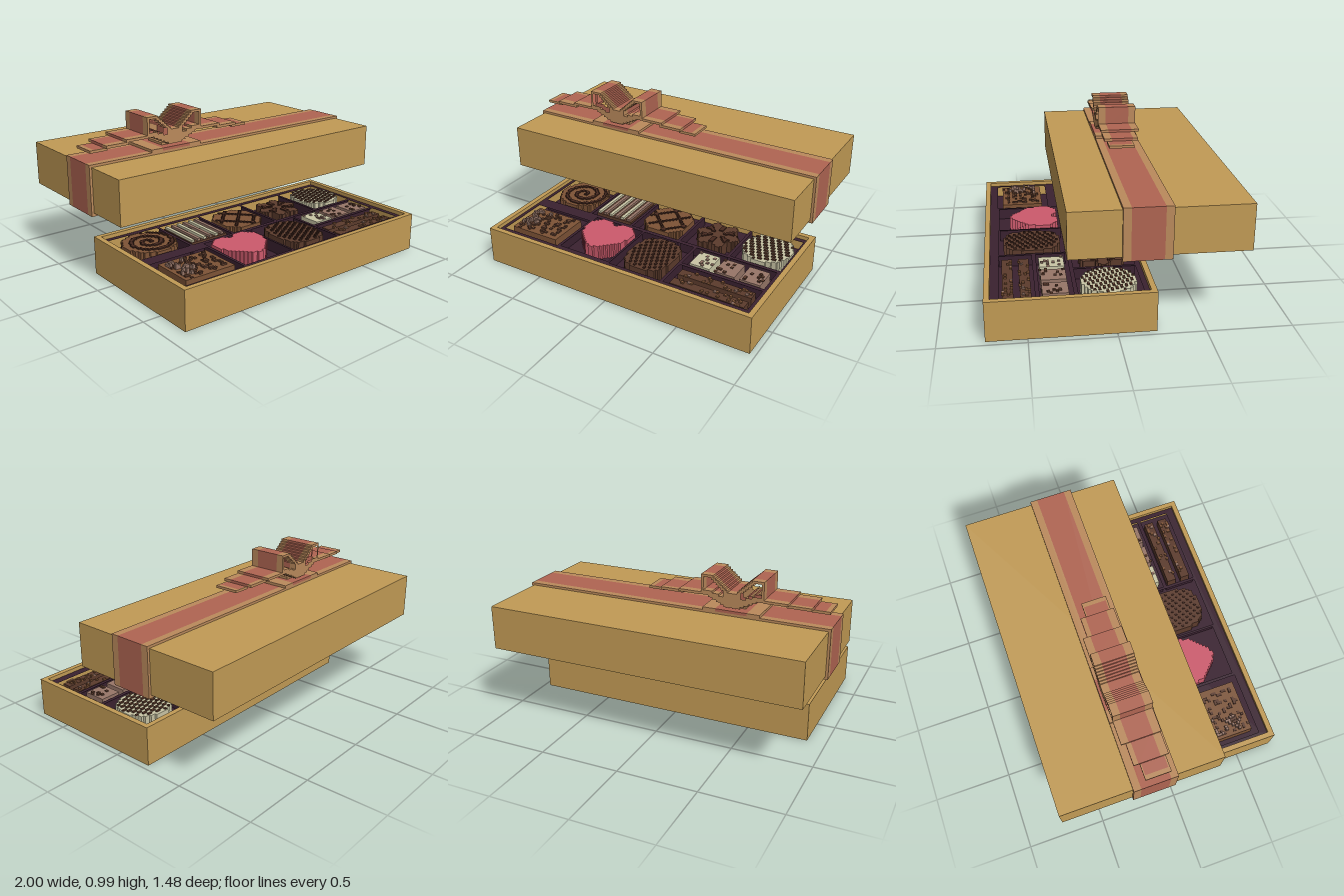
import * as THREE from 'three';
import { mergeGeometries } from 'three/addons/utils/BufferGeometryUtils.js';

const mat = (name, color) => Object.assign(new THREE.MeshStandardMaterial({ color }), { name });

export function createModel() {
  const M = {
    card: mat('gold card', 0xc29b55), edge: mat('ribbon edge', 0xbb8a5c), red: mat('ribbon red', 0xb06552),
    plum: mat('tray plum', 0x3a2130), pink: mat('heart pink', 0xcd5a6c), milk: mat('milk chocolate', 0x7d5336),
    dark: mat('dark chocolate', 0x5c3b2c), cream: mat('white chocolate', 0xcac6a6),
    mauve: mat('nougat', 0x977668), bitter: mat('bitter chocolate', 0x46291f),
  };
  const model = new THREE.Group();
  let seed = 7;
  const rand = () => (seed = (seed * 16807) % 2147483647) / 2147483647;

  const group = (name) => {
    const g = new THREE.Group();
    g.name = name;
    model.add(g);
    return g;
  };
  const add = (parent, name, geo, material) => {
    const m = new THREE.Mesh(geo, material);
    m.name = name;
    parent.add(m);
    return m;
  };
  const boxGeo = (x0, x1, y0, y1, z0, z1) =>
    new THREE.BoxGeometry(x1 - x0, y1 - y0, z1 - z0).translate((x0 + x1) / 2, (y0 + y1) / 2, (z0 + z1) / 2);
  const box = (parent, name, material, ...r) => add(parent, name, boxGeo(...r), material);
  const shapeOf = (pts) => new THREE.Shape(pts.map(([x, y]) => new THREE.Vector2(x, y)));

  // Four walls around a rectangular footprint
  function walls(parent, x0, x1, y0, y1, z0, z1, t) {
    box(parent, 'leftWall', M.card, x1 - t, x1, y0, y1, z0, z1);
    box(parent, 'rightWall', M.card, x0, x0 + t, y0, y1, z0, z1);
    box(parent, 'frontWall', M.card, x0 + t, x1 - t, y0, y1, z1 - t, z1);
    box(parent, 'backWall', M.card, x0 + t, x1 - t, y0, y1, z0, z0 + t);
  }

  // Ribbon profile swept along z in three strips: edge, red, edge
  function ribbonStrips(parent, name, shape, z0, r0, r1, z1) {
    [[z0, r0, M.edge], [r0, r1, M.red], [r1, z1, M.edge]].forEach(([a, b, m]) =>
      add(parent, name, new THREE.ExtrudeGeometry(shape, { depth: b - a, bevelEnabled: false }).translate(0, 0, a), m));
  }

  // Stepped polyline between two points
  function stairs(x0, y0, x1, y1, n) {
    const pts = [[x0, y0]];
    for (let i = 1; i <= n; i++) {
      const x = x0 + (x1 - x0) * i / n;
      pts.push([x, pts[pts.length - 1][1]], [x, y0 + (y1 - y0) * i / n]);
    }
    return pts;
  }

  // Pixel-stepped solid: each row of cells that pass the test is joined into runs
  function pixels(parent, name, material, cx, cz, hx, hz, n, y0, y1, test) {
    const geos = [];
    for (let j = 0; j < n; j++) {
      let start = -1;
      for (let i = 0; i <= n; i++) {
        const inside = i < n && test((i + 0.5) * 2 / n - 1, (j + 0.5) * 2 / n - 1, i, j);
        if (inside && start < 0) start = i;
        if (!inside && start >= 0) {
          geos.push(boxGeo(cx + hx * (start * 2 / n - 1), cx + hx * (i * 2 / n - 1), y0, y1,
            cz + hz * (j * 2 / n - 1), cz + hz * ((j + 1) * 2 / n - 1)));
          start = -1;
        }
      }
    }
    return add(parent, name, mergeGeometries(geos), material);
  }

  // Small crumbs strewn over a rectangle
  function crumbs(parent, name, material, x0, x1, z0, z1, y, h, count, s = 0.017) {
    const geos = [];
    for (let i = 0; i < count; i++) {
      const x = x0 + Math.floor(rand() * (x1 - x0) / s) * s, z = z0 + Math.floor(rand() * (z1 - z0) / s) * s;
      geos.push(boxGeo(x, x + s, y, y + h * (0.4 + 0.6 * rand()), z, z + s));
    }
    add(parent, name, mergeGeometries(geos), material);
  }

  // Bottom box
  const base = group('bottomBox');
  box(base, 'boxFloor', M.card, -0.885, 0.965, 0, 0.02, -0.225, 0.735);
  walls(base, -0.885, 0.965, 0.02, 0.245, -0.225, 0.735, 0.033);

  // Tray with a compartment for each sweet
  const tray = group('tray');
  const cells = [
    [-0.83, -0.41, 0.3, 0.65], [-0.39, -0.035, 0.24, 0.64], [-0.02, 0.34, 0.24, 0.65],
    [0.36, 0.9, 0.45, 0.65], [0.36, 0.9, 0.235, 0.425], [-0.83, -0.47, -0.16, 0.21],
    [-0.45, -0.15, -0.16, 0.21], [-0.13, 0.21, -0.16, 0.21], [0.23, 0.56, -0.16, 0.21], [0.58, 0.91, -0.16, 0.21],
  ];
  const rect = (x0, x1, z0, z1) => [[x0, -z0], [x1, -z0], [x1, -z1], [x0, -z1]];
  const trayShape = shapeOf(rect(-0.852, 0.932, -0.192, 0.702));
  trayShape.holes = cells.map((c) => shapeOf(rect(...c)));
  add(tray, 'trayDividers', new THREE.ExtrudeGeometry(trayShape, { depth: 0.08, bevelEnabled: false })
    .rotateX(-Math.PI / 2).translate(0, 0.14, 0), M.plum);
  box(tray, 'trayFloor', M.plum, -0.852, 0.932, 0.02, 0.14, -0.192, 0.702);

  // Front row of sweets
  const sweets = group('sweets');
  const Y = 0.14, T = 0.228;
  box(sweets, 'nutSquare', M.milk, -0.79, -0.45, Y, T, 0.34, 0.615);
  crumbs(sweets, 'darkCrumbs', M.dark, -0.77, -0.47, 0.36, 0.6, T, 0.012, 70);
  crumbs(sweets, 'nuts', M.mauve, -0.77, -0.66, 0.38, 0.56, T, 0.034, 22);
  pixels(sweets, 'heart', M.pink, -0.215, 0.4375, 0.184, 0.184, 22, Y, 0.235, (a, b) => {
    const u = a * 1.25, v = -b * 1.25;
    return (u * u + v * v - 1) ** 3 - u * u * v ** 3 < 0;
  });
  const oval = (u, v) => Math.abs(u) ** 2.6 + Math.abs(v) ** 2.6 < 1;
  pixels(sweets, 'truffle', M.dark, 0.165, 0.44, 0.148, 0.178, 20, Y, T, oval);
  pixels(sweets, 'truffleRidges', M.bitter, 0.165, 0.44, 0.135, 0.165, 20, T, T + 0.008,
    (u, v, i, j) => oval(u, v) && (i + 2 * j) % 5 === 0);
  for (const z of [0.47, 0.57]) {
    box(sweets, 'chocolateBar', M.dark, 0.39, 0.87, Y, 0.21, z, z + 0.062);
    crumbs(sweets, 'barCrumbs', M.milk, 0.4, 0.86, z, z + 0.06, 0.21, 0.012, 16);
    crumbs(sweets, 'paleCrumbs', M.mauve, 0.4, 0.86, z, z + 0.06, 0.21, 0.012, 3);
  }
  [[0.405, M.cream], [0.57, M.mauve], [0.735, M.mauve]].forEach(([x, m], k) => {
    box(sweets, 'nougatPiece', m, x, x + 0.133, Y, 0.222, 0.26, 0.41);
    crumbs(sweets, 'nougatCrumbs', k ? M.dark : M.mauve, x, x + 0.13, 0.265, 0.405, 0.222, 0.01, 9);
  });

  // Back row of sweets
  const disc = (u, v) => u * u + v * v < 1;
  pixels(sweets, 'swirlRound', M.milk, -0.645, 0.025, 0.165, 0.165, 20, Y, T, disc);
  pixels(sweets, 'swirlLines', M.bitter, -0.645, 0.025, 0.155, 0.155, 24, T, T + 0.008,
    (u, v) => disc(u, v) && Math.sin(Math.hypot(u, v) * 15 + Math.atan2(v, u)) > 0.55);
  box(sweets, 'stripedSquare', M.dark, -0.435, -0.165, Y, 0.215, -0.125, 0.175);
  for (let i = 0; i < 6; i++) {
    const x = -0.43 + i * 0.045;
    box(sweets, 'paleStripe', i % 2 ? M.mauve : M.cream, x, x + 0.022, 0.215, 0.23, -0.12, 0.17);
  }
  const octagon = (u, v) => Math.abs(u) + Math.abs(v) < 1.45;
  pixels(sweets, 'drizzledSquare', M.milk, 0.04, 0.025, 0.145, 0.15, 18, Y, 0.222, octagon);
  pixels(sweets, 'drizzle', M.bitter, 0.04, 0.025, 0.14, 0.145, 18, 0.222, 0.23,
    (u, v, i, j) => octagon(u, v) && ((i + j) % 9 === 0 || (i - j + 18) % 12 === 0));
  const flower = (u, v) => Math.hypot(u, v) < 0.85 + 0.13 * Math.cos(6 * Math.atan2(v, u));
  pixels(sweets, 'flower', M.dark, 0.4, 0.025, 0.145, 0.15, 20, Y, 0.22, flower);
  pixels(sweets, 'petals', M.bitter, 0.4, 0.025, 0.14, 0.145, 20, 0.22, 0.228,
    (u, v) => flower(u, v) && Math.cos(6 * Math.atan2(v, u)) < -0.5);
  pixels(sweets, 'whiteRound', M.cream, 0.75, 0.025, 0.155, 0.16, 20, Y, T, disc);
  pixels(sweets, 'whiteRoundLines', M.dark, 0.75, 0.025, 0.15, 0.155, 22, T, T + 0.008,
    (u, v, i, j) => disc(u, v) && (i + 3 * j) % 7 < 2);

  // Raised lid
  const lid = group('lid');
  box(lid, 'lidTop', M.card, -0.985, 0.985, 0.735, 0.755, -0.74, 0.28);
  walls(lid, -0.985, 0.985, 0.48, 0.735, -0.74, 0.28, 0.018);

  // Ribbon over the lid, hooked under both ends
  const ribbon = group('ribbon');
  const half = [[1, 0.77], [1, 0.46], [0.957, 0.46], [0.957, 0.48], [0.985, 0.48], [0.985, 0.755]];
  ribbonStrips(ribbon, 'lidRibbon', shapeOf([...half, ...half.map(([x, y]) => [-x, y]).reverse()]),
    -0.293, -0.247, -0.063, -0.017);

  // Bow: knot plate, two stepped loops, two stepped tails
  const bow = group('bow');
  const C = -0.397;
  [[-0.18, -0.1, M.edge], [-0.1, 0.1, M.red], [0.1, 0.18, M.edge]].forEach(([a, b, m]) =>
    box(bow, 'knotPlate', m, C + a, C + b, 0.77, 0.787, -0.293, -0.017));
  box(bow, 'knotFoot', M.edge, C - 0.07, C + 0.07, 0.787, 0.802, -0.225, -0.08);
  for (const s of [-1, 1]) {
    const side = (pts) => shapeOf(pts.map(([x, y]) => [C + s * x, y]));
    const loop = side([
      [0, 0.8], [0.05, 0.8], ...stairs(0.05, 0.812, 0.15, 0.86, 4), [0.197, 0.86], [0.197, 0.985],
      ...stairs(0.135, 0.985, 0.03, 0.89, 7), [0, 0.89],
    ]);
    loop.holes = [side([
      [0.182, 0.888], [0.182, 0.97], ...stairs(0.15, 0.97, 0.055, 0.888, 6),
      [0.055, 0.862], [0.085, 0.862], [0.085, 0.875], [0.125, 0.875], [0.125, 0.888],
    ])];
    ribbonStrips(bow, 'bowLoop', loop, -0.278, -0.232, -0.082, -0.033);
    const bar = (x0, x1, y0, y1) => side([[x0, y0], [x1, y0], [x1, y1], [x0, y1]]);
    ribbonStrips(bow, 'tailInner', bar(0.197, 0.342, 0.858, 0.874), -0.278, -0.232, -0.082, -0.033);
    ribbonStrips(bow, 'tailMiddle', bar(0.325, 0.475, 0.841, 0.858), -0.25, -0.22, -0.085, -0.037);
    ribbonStrips(bow, 'tailOuter', bar(0.46, 0.545, 0.825, 0.841), -0.213, -0.205, -0.065, -0.055);
    add(bow, 'tailTip', new THREE.ExtrudeGeometry(bar(0.545, 0.573, 0.825, 0.841), { depth: 0.158, bevelEnabled: false })
      .translate(0, 0, -0.213), M.edge);
  }
  return model;
}
